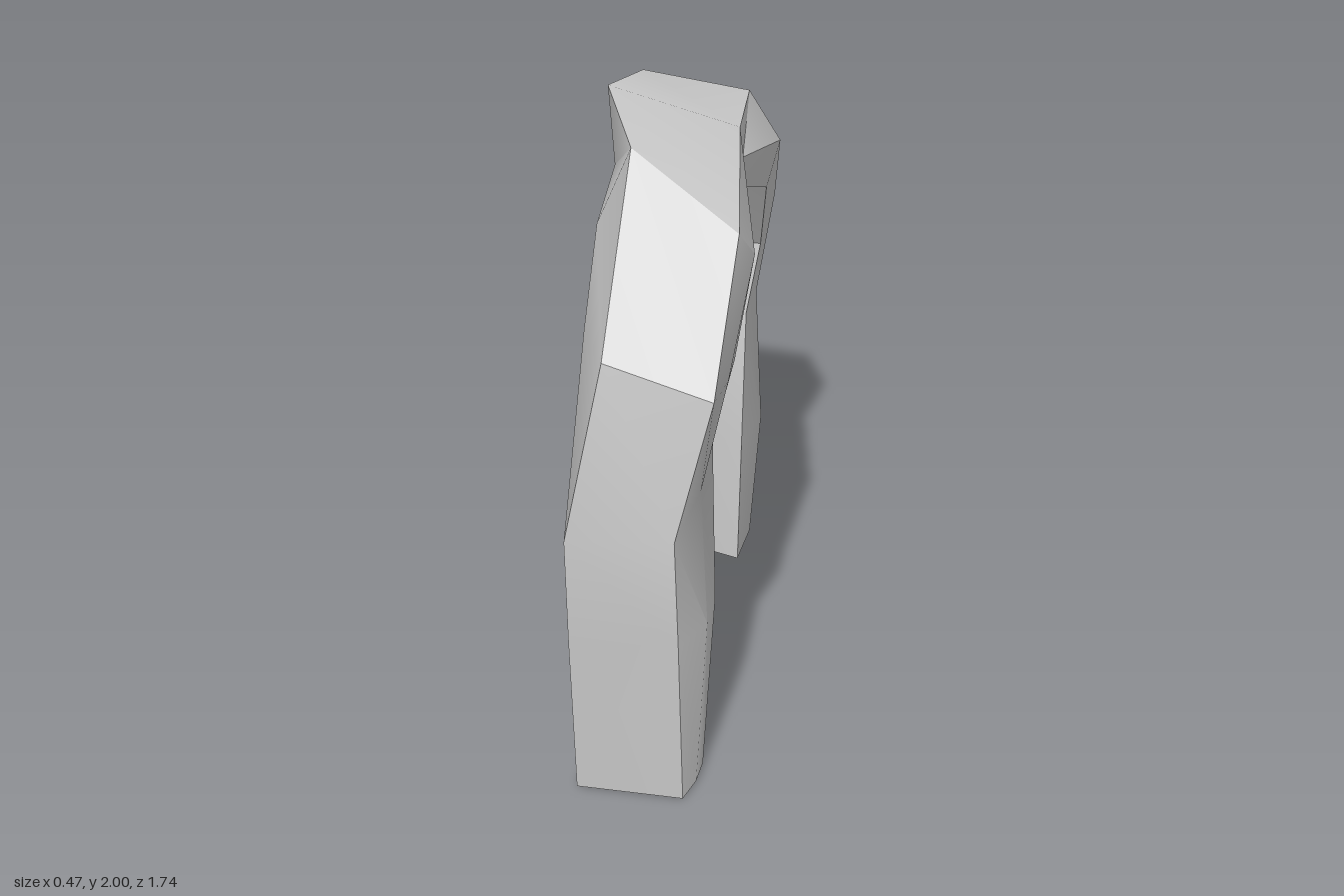
import * as THREE from 'three';
import { toCreasedNormals } from 'three/addons/utils/BufferGeometryUtils.js';

// Edge rails of the arch, from the front foot over the crown to the back foot
const outerRight = [
  [-0.23, 0, 0.78], [-0.22, 0.62, 0.835], [-0.21, 0.99, 0.87], [-0.11, 1.51, 0.78], [-0.12, 1.91, 0.29],
  [-0.23, 2, 0.06], [-0.21, 1.9, -0.36], [-0.22, 1.53, -0.79], [-0.22, 1, -0.87], [-0.23, 0, -0.81],
];
const outerLeft = [
  [0.1, 0, 0.78], [0.095, 0.62, 0.815], [0.09, 1, 0.84], [0.19, 1.43, 0.8], [0.2, 1.74, 0.43],
  [0.14, 1.87, -0.01], [0.11, 1.82, -0.45], [0.13, 1.53, -0.74], [0.09, 1, -0.86], [0.1, 0.01, -0.81],
];
const innerLeft = [
  [0.14, 0.02, 0.64], [0.17, 0.65, 0.61], [0.15, 1.16, 0.55], [0.19, 1.34, 0.41], [0.2, 1.56, 0.29],
  [0.14, 1.69, 0], [0.19, 1.57, -0.28], [0.15, 1.27, -0.5], [0.11, 1.02, -0.47], [0.1, 0.02, -0.43],
];
// The inner right rail keeps to one plane, so only y and z vary
const innerRight = [
  [0, 0.51], [0.6, 0.575], [1.17, 0.54], [1.45, 0.5], [1.68, 0.3],
  [1.75, 0.04], [1.6, -0.32], [1.27, -0.53], [1.05, -0.48], [0, -0.55],
].map(([y, z]) => [-0.22, y, z]);

// How far the left side swells at each section
const bulge = [0.01, 0.03, 0.02, 0.01, 0.035, 0.01, 0.07, 0.04, 0.02, 0.05, 0.02];

const midpoint = (p, q) => p.map((v, k) => (v + q[k]) / 2);

// Add a point halfway up the back leg
function splitBackLeg(rail) {
  const foot = rail[rail.length - 1];
  const knee = rail[rail.length - 2];
  return [...rail.slice(0, -1), midpoint(knee, foot), foot];
}

// Five-cornered sections: four rails plus the swollen middle of the left side
function makeSections() {
  const [right, left, inLeft, inRight] = [outerRight, outerLeft, innerLeft, innerRight].map(splitBackLeg);
  return bulge.map((swell, i) => {
    const [x, y, z] = midpoint(left[i], inLeft[i]);
    return [right[i], left[i], [x + swell, y, z], inLeft[i], inRight[i]];
  });
}

// Skin the sections and close both ends
function loft(rings) {
  const n = rings[0].length;
  const last = (rings.length - 1) * n;
  const index = [];
  for (let i = 0; i < rings.length - 1; i++) {
    for (let j = 0; j < n; j++) {
      const a = i * n + j;
      const b = i * n + ((j + 1) % n);
      index.push(a, b, a + n, b, b + n, a + n);
    }
  }
  for (let k = 1; k < n - 1; k++) {
    index.push(0, k + 1, k, last, last + k, last + k + 1);
  }
  const geometry = new THREE.BufferGeometry();
  geometry.setAttribute('position', new THREE.Float32BufferAttribute(rings.flat(2), 3));
  geometry.setIndex(index);
  return toCreasedNormals(geometry, 0.5);
}

export function createModel() {
  const group = new THREE.Group();
  group.name = 'stoneArch';

  // Rough-hewn arch standing on two feet
  const arch = new THREE.Mesh(loft(makeSections()), new THREE.MeshStandardMaterial({ color: 0xcccccc }));
  arch.name = 'arch';
  group.add(arch);
  return group;
}
